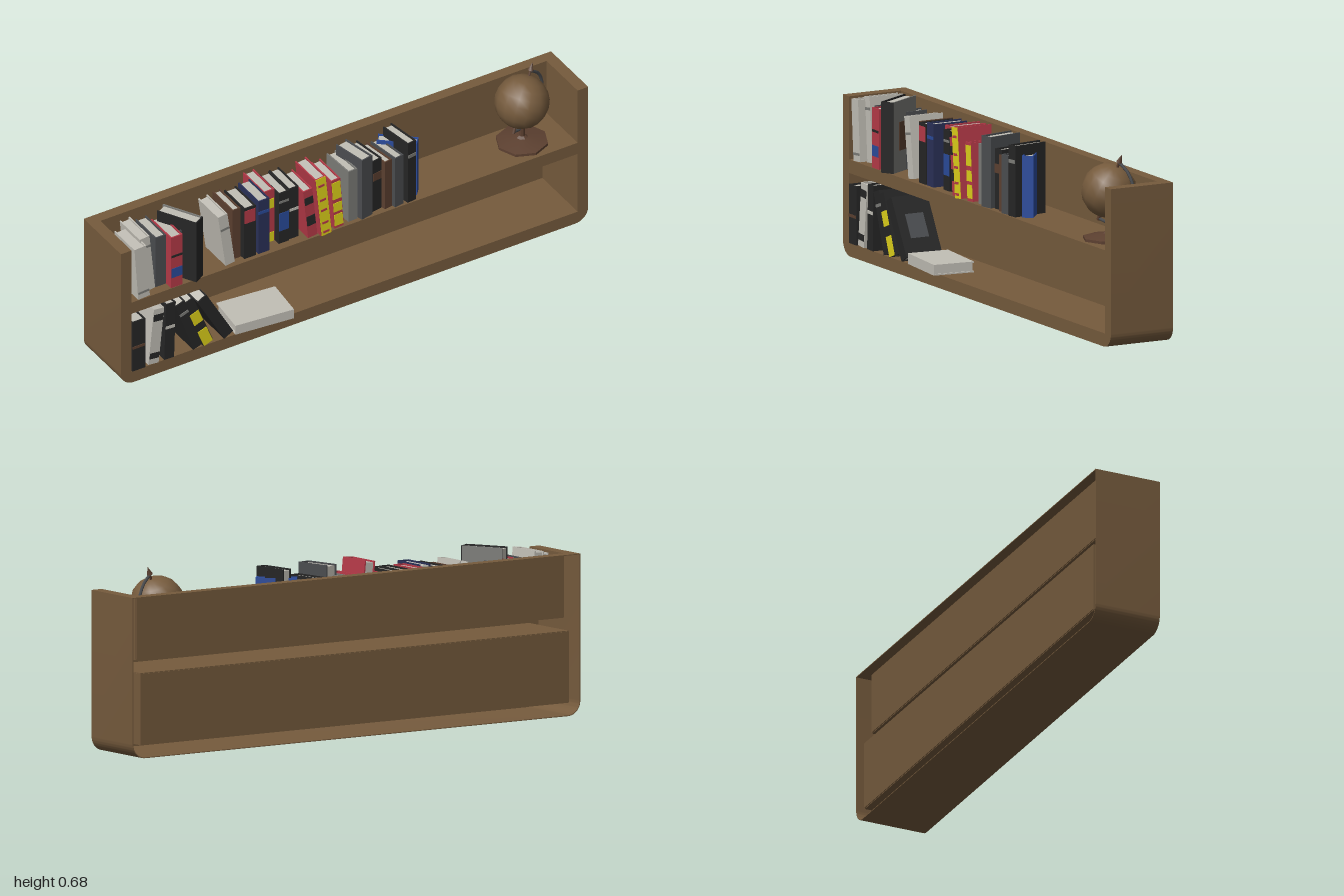
import * as THREE from 'three';
import { toCreasedNormals } from 'three/addons/utils/BufferGeometryUtils.js';

const mat = (name, color) => new THREE.MeshStandardMaterial({ name, color, side: THREE.DoubleSide });
const M = {
  wood: mat('wood', 0x765b3d),
  brown: mat('dark brown', 0x5c4030),
  black: mat('black', 0x262626),
  slate: mat('dark grey', 0x4b4d50),
  grey: mat('grey', 0x7c7c78),
  paper: mat('paper', 0xc2bfb6),
  red: mat('red', 0xb63a48),
  blue: mat('blue', 0x2a4b9c),
  yellow: mat('yellow', 0xdfd21a),
  navy: mat('navy', 0x2a3158),
};

function add(parent, name, geometry, material, x = 0, y = 0, z = 0) {
  const m = new THREE.Mesh(geometry, material);
  m.name = name;
  m.position.set(x, y, z);
  parent.add(m);
  return m;
}

// box given by its minimum and maximum corners
function slab(parent, name, material, x0, x1, y0, y1, z0, z1) {
  return add(parent, name, new THREE.BoxGeometry(x1 - x0, y1 - y0, z1 - z0), material,
    (x0 + x1) / 2, (y0 + y1) / 2, (z0 + z1) / 2);
}

const TOP = 0.595, BACK = -0.143, FRONT = 0.117, IN = 0.955, T = 0.003;

// U outline with rounded lower corners, from top left to top right
function uPath(shape, w, y0, r) {
  shape.moveTo(-w, TOP);
  shape.lineTo(-w, y0 + r);
  shape.absarc(-w + r, y0 + r, r, Math.PI, Math.PI * 1.5, false);
  shape.lineTo(w - r, y0);
  shape.absarc(w - r, y0 + r, r, Math.PI * 1.5, Math.PI * 2, false);
  shape.lineTo(w, TOP);
}

function makeShelf() {
  const g = new THREE.Group();
  g.name = 'shelf';

  // outer skin, open at the back
  const u = new THREE.Shape(), r = 0.055;
  uPath(u, 1, 0, r);
  u.lineTo(1 - T, TOP);
  u.lineTo(1 - T, r);
  u.absarc(1 - r, r, r - T, 0, -Math.PI / 2, true);
  u.lineTo(-1 + r, T);
  u.absarc(-1 + r, r, r - T, -Math.PI / 2, -Math.PI, true);
  u.lineTo(-1 + T, TOP);
  const skin = new THREE.ExtrudeGeometry(u, { depth: FRONT - BACK, bevelEnabled: false, curveSegments: 8 });
  add(g, 'outerSkin', toCreasedNormals(skin, 0.5), M.wood, 0, 0, BACK);

  // front frame around both compartments
  const f = new THREE.Shape();
  uPath(f, 1, 0, r);
  [[IN, TOP], [IN, 0.36], [-IN, 0.36], [-IN, TOP]].forEach(p => f.lineTo(...p));
  const hole = new THREE.Path();
  hole.setFromPoints([[-IN, 0.05], [-IN, 0.31], [IN, 0.31], [IN, 0.05]].map(p => new THREE.Vector2(...p)));
  f.holes.push(hole);
  add(g, 'frontFrame', new THREE.ShapeGeometry(f, 8), M.wood, 0, 0, FRONT);

  // top rim and the two compartment liners
  slab(g, 'backRim', M.wood, -1, 1, TOP - T, TOP, BACK, -0.1);
  slab(g, 'upperFloor', M.wood, -IN, IN, 0.36 - T, 0.36, -0.1, FRONT);
  slab(g, 'upperBack', M.wood, -IN, IN, 0.36, TOP, -0.1 - T, -0.1);
  slab(g, 'lowerFloor', M.wood, -IN, IN, 0.05 - T, 0.05, -0.13, FRONT);
  slab(g, 'lowerCeiling', M.wood, -IN, IN, 0.31, 0.31 + T, -0.13, FRONT);
  slab(g, 'lowerBack', M.wood, -IN, IN, 0.05, 0.31, -0.13 - T, -0.13);
  for (const s of [-1, 1]) {
    const a = s * IN, b = s * (IN + T), e = s;
    slab(g, 'sideRim', M.wood, Math.min(a, e), Math.max(a, e), TOP - T, TOP, -0.1, FRONT);
    slab(g, 'upperSide', M.wood, Math.min(a, b), Math.max(a, b), 0.36, TOP, -0.1, FRONT);
    slab(g, 'lowerSide', M.wood, Math.min(a, b), Math.max(a, b), 0.05, 0.31, -0.13, FRONT);
  }
  return g;
}

// book standing on its lower edge, spine towards +z; bands = [from, to, colour] along the spine
function makeBook({ x, y, z = 0.09, w = 0.046, h = 0.225, d = 0.14, tilt = 0, yaw = 0, color, cover, bands = [], art }) {
  const g = new THREE.Group(), c = M[color], b = 0.005;
  g.name = 'book';
  slab(g, 'spine', c, -w / 2, w / 2, 0, h, -b, 0);
  slab(g, 'leftCover', c, -w / 2, -w / 2 + b, 0, h, -d, -b);
  slab(g, 'rightCover', M[cover || color], w / 2 - b, w / 2, 0, h, -d, -b);
  slab(g, 'pages', M.paper, -w / 2 + b, w / 2 - b, 0.005, h - 0.006, -d + 0.005, -b);
  for (const [from, to, k] of bands)
    slab(g, 'spineBand', M[k], -w / 2 + 0.002, w / 2 - 0.002, from * h, to * h, 0, 0.002);
  if (art) slab(g, 'coverArt', M[art], w / 2, w / 2 + 0.002, h * 0.3, h * 0.7, -d * 0.75, -d * 0.25);
  g.position.set(x, y + Math.abs(Math.sin(tilt)) * w / 2, z);
  g.rotation.set(0, yaw, tilt);
  return g;
}

function makeBooks() {
  const g = new THREE.Group();
  g.name = 'books';
  const speckle = [0.04, 0.2, 0.42, 0.6, 0.85].map(v => [v, v + 0.05, 'red']);
  const upper = [
    { x: -0.90, z: 0.115, w: 0.05, h: 0.23, tilt: 0.07, color: 'paper', bands: [[0.1, 0.14, 'grey']] },
    { x: -0.855, z: 0.085, w: 0.042, h: 0.243, tilt: 0.1, color: 'paper', bands: [[0.8, 0.84, 'grey']] },
    { x: -0.807, z: 0.08, color: 'slate', h: 0.22 },
    { x: -0.76, z: 0.115, color: 'red', w: 0.05, bands: [[0.2, 0.38, 'blue'], [0.6, 0.64, 'black']] },
    { x: -0.712, z: 0.08, color: 'slate', h: 0.215 },
    { x: -0.665, z: 0.12, color: 'black', cover: 'grey', w: 0.05, h: 0.265, d: 0.165, yaw: 0.52, art: 'brown' },
    { x: -0.522, z: 0.1, color: 'paper', w: 0.04, h: 0.23, tilt: 0.14, bands: [[0.7, 0.74, 'grey']] },
    { x: -0.483, z: 0.08, color: 'brown', w: 0.034, h: 0.22 },
    { x: -0.437, z: 0.1, color: 'black', w: 0.05, bands: [[0.7, 0.95, 'red']] },
    { x: -0.378, z: 0.1, color: 'navy', w: 0.048, h: 0.235, bands: [[0.75, 0.8, 'blue']] },
    { x: -0.328, z: 0.055, color: 'red', w: 0.045, h: 0.23, d: 0.145, bands: [[0, 0.18, 'yellow'], [0.65, 0.83, 'yellow']] },
    { x: -0.283, z: 0.085, color: 'black', w: 0.044, bands: [[0.25, 0.6, 'blue'], [0.8, 0.84, 'grey']] },
    { x: -0.238, z: 0.08, color: 'black', w: 0.042, bands: [[0.55, 0.6, 'paper']] },
    { x: -0.175, z: 0.11, color: 'red', w: 0.04, h: 0.215, tilt: 0.1, bands: [[0.25, 0.45, 'black'], [0.7, 0.85, 'black']] },
    { x: -0.125, z: 0.125, color: 'red', w: 0.046, h: 0.262, tilt: 0.1, bands: [[0, 1, 'yellow']] },
    { x: -0.062, z: 0.11, color: 'red', w: 0.04, h: 0.218, tilt: 0.07, bands: [[0.05, 0.28, 'yellow'], [0.34, 0.52, 'yellow'], [0.6, 0.95, 'yellow']] },
    { x: 0.003, z: 0.1, color: 'grey', w: 0.04, yaw: 0.05 },
    { x: 0.058, z: 0.11, color: 'slate', w: 0.052, h: 0.265, yaw: 0.2 },
    { x: 0.113, z: 0.09, color: 'black', w: 0.044, yaw: 0.15, bands: [[0.6, 0.75, 'brown']] },
    { x: 0.155, z: 0.1, color: 'brown', w: 0.034, h: 0.21, yaw: 0.15 },
    { x: 0.196, z: 0.11, color: 'slate', w: 0.04, h: 0.22, yaw: 0.15 },
    { x: 0.25, z: 0.11, color: 'black', w: 0.04, h: 0.265, yaw: 0.15, bands: [[0.75, 0.8, 'grey']] },
    { x: 0.298, z: 0.072, color: 'blue', w: 0.042, h: 0.23, d: 0.15, yaw: 0.87 },
  ];
  const lower = [
    { x: -0.925, color: 'black', w: 0.056, h: 0.22, bands: [[0.45, 0.5, 'brown']] },
    { x: -0.862, color: 'paper', w: 0.044, h: 0.24, tilt: -0.1, bands: [[0.1, 0.2, 'black'], [0.78, 0.9, 'black']] },
    { x: -0.795, color: 'black', w: 0.042, h: 0.245, tilt: -0.03, bands: [[0.55, 0.6, 'paper']] },
    { x: -0.672, color: 'black', w: 0.042, h: 0.235, tilt: 0.33, bands: [[0.75, 0.8, 'grey']] },
    { x: -0.628, color: 'black', w: 0.044, h: 0.235, tilt: 0.37, bands: [[0, 0.32, 'yellow'], [0.48, 0.72, 'yellow']] },
    { x: -0.54, color: 'black', w: 0.044, h: 0.235, tilt: 0.51, art: 'slate' },
  ];
  for (const b of upper) g.add(makeBook({ y: 0.36, ...b }));
  for (const b of lower) g.add(makeBook({ y: 0.05, z: 0.119, d: 0.15, ...b }));
  // speckled spine of the tall yellow book
  const tall = g.children[14];
  for (const [from, to] of speckle)
    slab(tall, 'spineFleck', M.red, -0.014, 0.012, from * 0.262, to * 0.262 - 0.004, 0.002, 0.004);
  // book lying flat
  g.add(makeBook({ x: -0.275, y: 0.05, z: 0.143, w: 0.04, h: 0.238, d: 0.16, tilt: Math.PI / 2, yaw: -0.1, color: 'paper' }));
  return g;
}

function makeGlobe() {
  const g = new THREE.Group();
  g.name = 'globe';
  g.position.set(0.785, 0.36, 0.005);
  // stepped foot and stem
  const foot = [[0, 0], [0.098, 0], [0.098, 0.01], [0.06, 0.018], [0.022, 0.024], [0.012, 0.032], [0.012, 0.066], [0, 0.066]];
  const base = new THREE.LatheGeometry(foot.map(p => new THREE.Vector2(...p)), 8);
  add(g, 'foot', toCreasedNormals(base, 0.4), M.brown);

  // ball and arm share a tilted axis
  const head = new THREE.Group();
  head.name = 'tiltedHead';
  head.position.y = 0.182;
  head.rotation.set(0, 0.35, -0.42);
  g.add(head);
  add(head, 'ball', new THREE.SphereGeometry(0.102, 14, 10), M.wood);
  const arc = new THREE.CatmullRomCurve3(Array.from({ length: 9 }, (_, i) => {
    const a = Math.PI / 2 - i * Math.PI / 8;
    return new THREE.Vector3(Math.cos(a) * 0.12, Math.sin(a) * 0.12, 0);
  }));
  add(head, 'arm', new THREE.TubeGeometry(arc, 16, 0.006, 5), M.slate);
  add(head, 'topFinial', new THREE.ConeGeometry(0.012, 0.032, 6), M.brown, 0, 0.138, 0);
  add(head, 'topPin', new THREE.CylinderGeometry(0.005, 0.005, 0.03, 6), M.brown, 0, 0.112, 0);
  add(head, 'bottomPin', new THREE.CylinderGeometry(0.007, 0.007, 0.03, 6), M.brown, 0, -0.112, 0);
  return g;
}

export function createModel() {
  const model = new THREE.Group();
  model.name = 'bookshelf';
  model.add(makeShelf(), makeBooks(), makeGlobe());
  return model;
}
